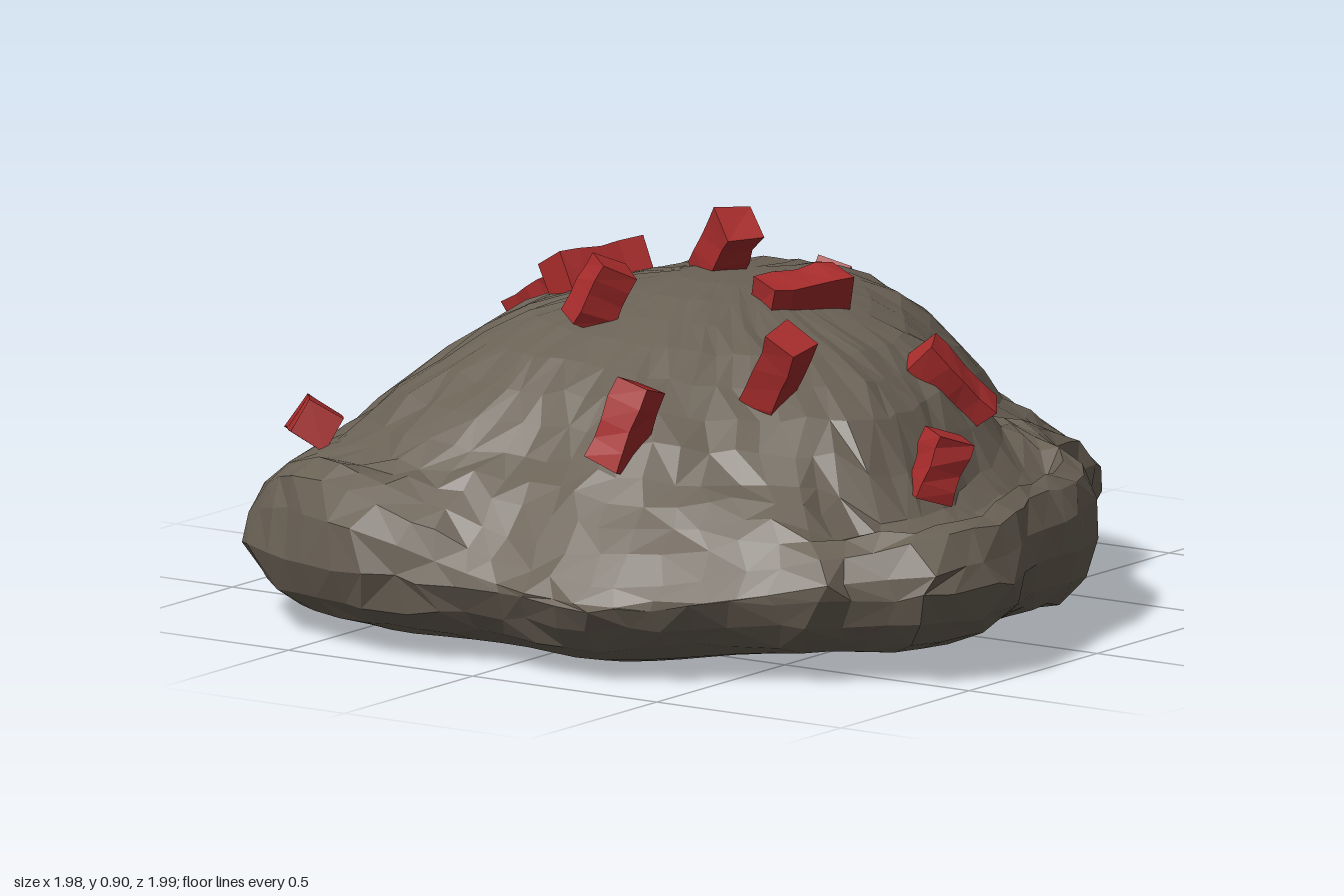
import * as THREE from 'three';

// Seeded value in -1..1 for each lattice index
const hash = (i, j, k = 0) => {
  const s = Math.sin(i * 127.1 + j * 311.7 + k * 74.7) * 43758.5453;
  return (s - Math.floor(s)) * 2 - 1;
};
const { smoothstep } = THREE.MathUtils;

// Footprint of the rock with the height of its shoulder: x, shoulder, z
const OUTLINE = [
  [0.86, 0.34, -0.13], [0.88, 0.34, 0.02], [0.95, 0.34, 0.21], [0.98, 0.34, 0.37], [0.92, 0.33, 0.56],
  [0.78, 0.3, 0.62], [0.76, 0.29, 0.68], [0.59, 0.27, 0.76], [0.43, 0.23, 0.88], [0.24, 0.22, 0.98],
  [-0.02, 0.25, 0.94], [-0.34, 0.36, 0.99], [-0.55, 0.37, 0.93], [-0.77, 0.32, 0.79], [-0.91, 0.26, 0.5],
  [-0.92, 0.22, 0.3], [-0.98, 0.19, 0.1], [-0.89, 0.23, 0], [-0.92, 0.24, -0.16], [-0.78, 0.27, -0.38],
  [-0.77, 0.27, -0.55], [-0.66, 0.26, -0.74], [-0.46, 0.25, -0.88], [-0.2, 0.2, -0.88], [-0.04, 0.17, -0.99],
  [0.3, 0.23, -0.91], [0.47, 0.29, -0.78], [0.57, 0.33, -0.5], [0.78, 0.34, -0.32],
];

// Rings from the underside centre to the summit: scale, height, share of the shoulder height, undercut
const RINGS = [
  [0, 0.025, 0, 0], [0.4, 0.025, 0, 0], [0.7, 0.027, 0, 0], [0.84, 0.035, 0, 0.02], [0.92, 0.055, 0, 0.035],
  [0.965, 0.1, 0, 0.04], [1, 0.155, 0.25, 0.03], [0.99, 0.19, 0.75, 0], [0.96, 0.23, 1, 0], [0.91, 0.285, 0.8, 0],
  [0.86, 0.34, 0.45, 0], [0.81, 0.395, 0.15, 0], [0.75, 0.45, 0, 0], [0.69, 0.51, 0, 0], [0.62, 0.57, 0, 0],
  [0.54, 0.625, 0, 0], [0.45, 0.67, 0, 0], [0.35, 0.705, 0, 0], [0.24, 0.73, 0, 0], [0.12, 0.742, 0, 0], [0, 0.745, 0, 0],
];

function makeRock() {
  const seg = 72;
  const curve = new THREE.CatmullRomCurve3(OUTLINE.map((p) => new THREE.Vector3(...p)), true, 'catmullrom', 0.25);
  const rim = curve.getSpacedPoints(seg).slice(0, seg);
  const pos = [], index = [];
  RINGS.forEach(([f, h, share, undercut], i) => {
    const rough = i > 3 ? smoothstep(f, 0.05, 0.7) : 0;
    for (let j = 0; j < seg; j++) {
      // Slide along the ring, and let the rings grow rounder toward the summit
      const p = rim[j].clone().lerp(rim[(j + 1) % seg], rough * 0.3 * hash(i, j, 1));
      const round = new THREE.Vector3(p.x, 0, p.z).setLength(0.93);
      const blend = smoothstep(1 - f, 0.2, 0.8);
      let x = f * THREE.MathUtils.lerp(p.x, round.x, blend);
      let z = f * THREE.MathUtils.lerp(p.z, round.z, blend);
      // Push in and out for an irregular stone surface
      const upper = h > 0.18 ? 1 : 0;
      const lumps = Math.sin(x * 9 + h * 11) * Math.sin(z * 8 - h * 7);
      const k = 1 + rough * (0.01 * hash(i, j, 2) + 0.007 * upper * lumps);
      x *= k;
      z *= k;
      let y = h + share * (p.y - 0.23) + rough * 0.009 * hash(i, j, 3) + upper * 0.007 * lumps;
      y += undercut * smoothstep(p.x + p.z, 0.5, 1.1);
      if (upper && f < 0.93) {
        // Level bench along the left, and a crown that falls off left and stays broad behind
        y -= 0.09 * smoothstep(x, 0.56, 0.72) * smoothstep(0.93 - f, 0, 0.08);
        y -= 0.035 * smoothstep(x, 0.05, 0.35) * smoothstep(0.85 - f, 0, 0.1);
        y += 0.025 * Math.exp(-((z + 0.38) ** 2) * 60 - x * x * 8) - 0.02 * smoothstep(-z, 0.5, 0.65);
      }
      // Underside sags to its resting point
      if (i < 6) y -= 0.028 * Math.exp(-((x - 0.15) ** 2 + (z - 0.72) ** 2) * 12);
      pos.push(x, Math.max(0, y), z);
    }
  });
  for (let i = 0; i < RINGS.length - 1; i++) {
    for (let j = 0; j < seg; j++) {
      const n = (j + 1) % seg;
      const a = i * seg + j, b = i * seg + n, c = a + seg, d = b + seg;
      // Alternate the diagonal irregularly
      if (hash(i, j, 4) > 0) index.push(a, c, b, b, c, d);
      else index.push(a, d, b, a, c, d);
    }
  }
  const g = new THREE.BufferGeometry();
  g.setAttribute('position', new THREE.Float32BufferAttribute(pos, 3));
  g.setIndex(index);
  g.computeVertexNormals();
  return g;
}

// Rough-edged block, long along y
function makeBlock(seed, length) {
  const g = new THREE.BoxGeometry(0.085, length, 0.09, 1, 4, 1);
  const p = g.attributes.position;
  for (let i = 0; i < p.count; i++) {
    const x = p.getX(i), y = p.getY(i), z = p.getZ(i);
    const row = Math.round(y * 100), side = Math.sign(x) + 3 * Math.sign(z);
    p.setXYZ(i, x + 0.005 * hash(row, side, seed), y + 0.006 * hash(side, row, seed), z + 0.005 * hash(row, side, seed + 9));
  }
  g.computeVertexNormals();
  return g;
}

// Centre, direction of the long axis, length
const BLOCKS = [
  [[-0.13, 0.385, -0.79], [0.6, 0.45, -0.15], 0.18],
  [[-0.1, 0.615, -0.54], [0.12, 0.08, 0.18], 0.22],
  [[-0.51, 0.62, -0.03], [0.17, 0.1, 0.05], 0.19],
  [[-0.35, 0.715, 0.01], [0.08, 0.01, -0.2], 0.22],
  [[-0.04, 0.79, -0.04], [0.1, 0.13, 0.05], 0.19],
  [[0.205, 0.725, 0.01], [0.08, 0.01, -0.2], 0.22],
  [[0.53, 0.54, -0.1], [0.1, -0.16, -0.12], 0.21],
  [[0.73, 0.435, 0.23], [0.035, 0.14, -0.035], 0.15],
  [[0.41, 0.635, 0.4], [0.1, 0.16, 0.04], 0.21],
  [[-0.11, 0.745, 0.345], [0.06, 0.13, -0.03], 0.15],
  [[0.185, 0.535, 0.67], [0.05, 0.19, -0.06], 0.2],
  [[-0.7, 0.43, 0.61], [0.12, 0.03, 0.16], 0.2],
];

export function createModel() {
  const model = new THREE.Group();
  const stone = new THREE.MeshStandardMaterial({ color: 0x6b6256, flatShading: true });
  const red = new THREE.MeshStandardMaterial({ color: 0xa82c2c, flatShading: true });

  const rock = new THREE.Mesh(makeRock(), stone);
  rock.name = 'rock';
  model.add(rock);

  const blocks = new THREE.Group();
  blocks.name = 'redBlocks';
  BLOCKS.forEach(([centre, axis, length], i) => {
    const block = new THREE.Mesh(makeBlock(i + 1, length), red);
    block.name = 'redBlock' + (i + 1);
    block.position.set(...centre);
    // Long axis along the given direction, one side facing away from the rock
    const long = new THREE.Vector3(...axis).normalize();
    const out = new THREE.Vector3(centre[0], 0.6, centre[2]).normalize();
    const side = new THREE.Vector3().crossVectors(long, out).normalize();
    const face = new THREE.Vector3().crossVectors(side, long);
    block.quaternion.setFromRotationMatrix(new THREE.Matrix4().makeBasis(side, long, face));
    blocks.add(block);
  });
  model.add(blocks);
  return model;
}
